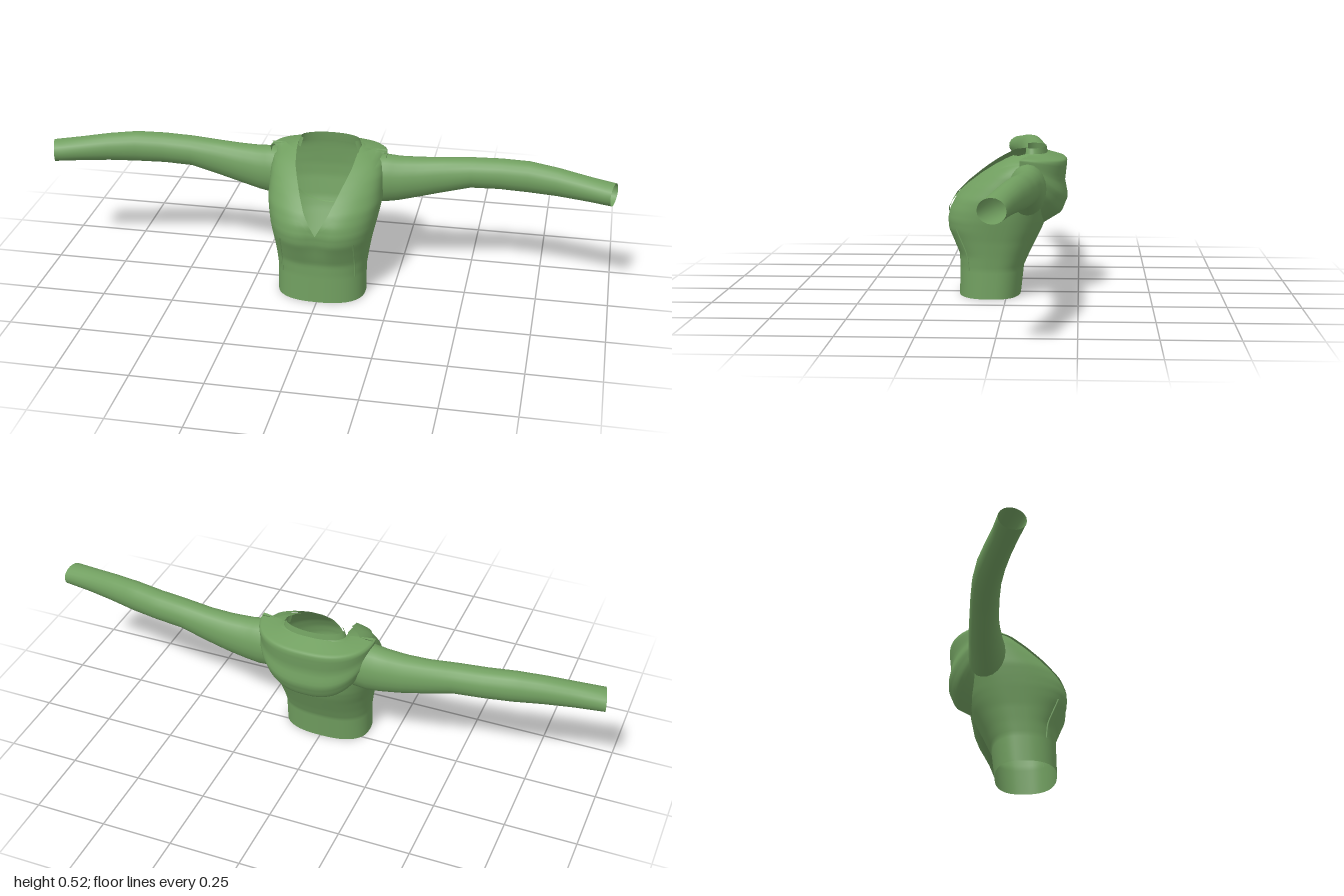
import * as THREE from 'three';
import { mergeVertices } from 'three/addons/utils/BufferGeometryUtils.js';

const cloth = new THREE.MeshStandardMaterial({ color: 0x719f60, side: THREE.DoubleSide });
cloth.name = 'green cloth';

// Smooth sheet from fn(u, v) -> [x, y, z], u across and v along, both 0..1
function sheet(name, nu, nv, fn) {
  const pos = [], idx = [];
  for (let j = 0; j <= nv; j++) for (let i = 0; i <= nu; i++) pos.push(...fn(i / nu, j / nv));
  for (let j = 0; j < nv; j++) for (let i = 0; i < nu; i++) {
    const a = j * (nu + 1) + i, b = a + nu + 1;
    idx.push(a, a + 1, b, a + 1, b + 1, b);
  }
  let geo = new THREE.BufferGeometry();
  geo.setAttribute('position', new THREE.Float32BufferAttribute(pos, 3));
  geo.setIndex(idx);
  geo = mergeVertices(geo, 1e-4);
  geo.computeVertexNormals();
  const mesh = new THREE.Mesh(geo, cloth);
  mesh.name = name;
  return mesh;
}

// Interpolate a row of a table by its first column
function sample(table, key) {
  let i = 0;
  while (i < table.length - 2 && key > table[i + 1][0]) i++;
  const a = table[i], b = table[i + 1];
  const t = THREE.MathUtils.clamp((key - a[0]) / (b[0] - a[0]), 0, 1);
  return a.map((v, k) => v + (b[k] - v) * t);
}

// y, half width, front z, z of widest point, back z
const BODY = [
  [0, 0.155, 0.168, 0.05, -0.047], [0.1, 0.155, 0.166, 0.045, -0.058],
  [0.145, 0.161, 0.168, 0.04, -0.078], [0.2, 0.17, 0.192, 0.03, -0.105],
  [0.235, 0.178, 0.208, 0.02, -0.122], [0.27, 0.186, 0.211, 0.01, -0.135],
  [0.305, 0.193, 0.203, -0.005, -0.142], [0.345, 0.2, 0.18, -0.02, -0.15],
  [0.39, 0.2, 0.135, -0.04, -0.152], [0.43, 0.2, 0.085, -0.06, -0.15],
  [0.46, 0.193, 0.04, -0.07, -0.148], [0.485, 0.16, -0.005, -0.078, -0.145],
  [0.5, 0.115, -0.035, -0.085, -0.14],
];
const P = 0.8;
const spow = v => Math.sign(v) * Math.abs(v) ** P;
// Half width of the V neck at a height
const neck = y => sample([[0.27, 0], [0.35, 0.045], [0.43, 0.085], [0.46, 0.1], [0.5, 0.111]], y)[1];
// Slight hollow down the middle of the chest
const hollow = (x, y) => 0.014 * Math.exp(-((x / 0.04) ** 2)) * Math.exp(-(((y - 0.25) / 0.07) ** 2));

function bodyPoint(t, y) {
  const [, w, zf, zc, zb] = sample(BODY, y);
  const c = Math.cos(t), x = w * spow(Math.sin(t));
  return [x, y, c > 0 ? zc + (zf - zc) * spow(c) - hollow(x, y) : zc + (zc - zb) * spow(c)];
}
const angleAt = (x, y) => Math.asin(Math.min(1, (x / sample(BODY, y)[1]) ** (1 / P)));

// x, top y, bottom y, back z, front z
const SLEEVE = [
  [0.15, 0.47, 0.305, -0.14, -0.01], [0.2, 0.475, 0.3, -0.14, -0.012],
  [0.25, 0.47, 0.308, -0.138, -0.02], [0.32, 0.47, 0.325, -0.138, -0.03],
  [0.4, 0.475, 0.347, -0.135, -0.037], [0.5, 0.484, 0.376, -0.131, -0.035],
  [0.6, 0.49, 0.382, -0.125, -0.03], [0.7, 0.494, 0.385, -0.11, -0.017],
  [0.8, 0.487, 0.389, -0.087, 0.001], [0.9, 0.475, 0.389, -0.064, 0.021],
  [1, 0.464, 0.387, -0.046, 0.042],
];

export function createModel() {
  const g = new THREE.Group();
  g.name = 'hoodedTop';

  // Torso, open at the waist and cut to a V at the neck
  g.add(sheet('torso', 64, 50, (u, v) => {
    const y = v * 0.5;
    const t0 = y > 0.27 ? angleAt(neck(y), y) : 0;
    return bodyPoint(t0 + u * (2 * Math.PI - 2 * t0), y);
  }));

  for (const side of [1, -1]) {
    const label = side > 0 ? 'left' : 'right';
    // Sleeve with a slanted open cuff
    g.add(sheet(label + 'Sleeve', 20, 34, (u, v) => {
      const x = 0.15 + v * 0.85, a = u * 2 * Math.PI;
      const [, top, low, back, front] = sample(SLEEVE, x);
      const slant = 0.012 * v ** 4 * (1 + Math.sin(a));
      return [side * (x - slant), (top + low) / 2 + Math.cos(a) * (top - low) / 2,
        (back + front) / 2 + Math.sin(a) * (front - back) / 2];
    }));
    // Folded lapel from the V up to the shoulder
    g.add(sheet(label + 'Lapel', 6, 20, (u, v) => {
      const y = 0.27 + 0.22 * v;
      const x = neck(y) + u * (0.205 * v ** 0.95 - neck(y));
      const p = bodyPoint(angleAt(x, y), y);
      return [side * x, y + 0.006 * v, p[2] + 0.006];
    }));
    // Thin drawcord lying on the chest
    const cord = [0.24, 0.2, 0.15, 0.095].map(y => {
      const p = bodyPoint(angleAt(0.128, y), y);
      return new THREE.Vector3(side * p[0], y, p[2] + 0.001);
    });
    const mesh = new THREE.Mesh(new THREE.TubeGeometry(new THREE.CatmullRomCurve3(cord), 12, 0.003, 6), cloth);
    mesh.name = label + 'Cord';
    g.add(mesh);
  }

  // Standing collar round the back of the neck
  g.add(sheet('collar', 32, 3, (u, v) => {
    const a = -0.5 + u * (Math.PI + 1);
    return [(0.116 - 0.012 * v) * Math.cos(a), 0.485 + 0.034 * v, -0.09 - (0.052 - 0.006 * v) * Math.sin(a)];
  }));

  // Lowered hood draped over the back: radius x, start z, depth, side y, middle y
  const HOOD = [
    [0, 0.112, -0.08, 0.06, 0.497, 0.5], [0.3, 0.2, -0.055, 0.15, 0.492, 0.477],
    [0.34, 0.207, -0.05, 0.159, 0.488, 0.47], [0.5, 0.205, -0.05, 0.151, 0.48, 0.4],
    [0.65, 0.203, -0.05, 0.162, 0.47, 0.345], [0.82, 0.195, -0.05, 0.14, 0.455, 0.29],
    [1, 0.17, -0.05, 0.075, 0.44, 0.25],
  ];
  g.add(sheet('hood', 36, 24, (u, v) => {
    const a = u * Math.PI, s = Math.sin(a);
    const [, rx, z0, d, ys, ym] = sample(HOOD, v);
    return [rx * spow(Math.cos(a)), ys + (ym - ys) * s, z0 - d * s ** 0.85];
  }));

  return g;
}
